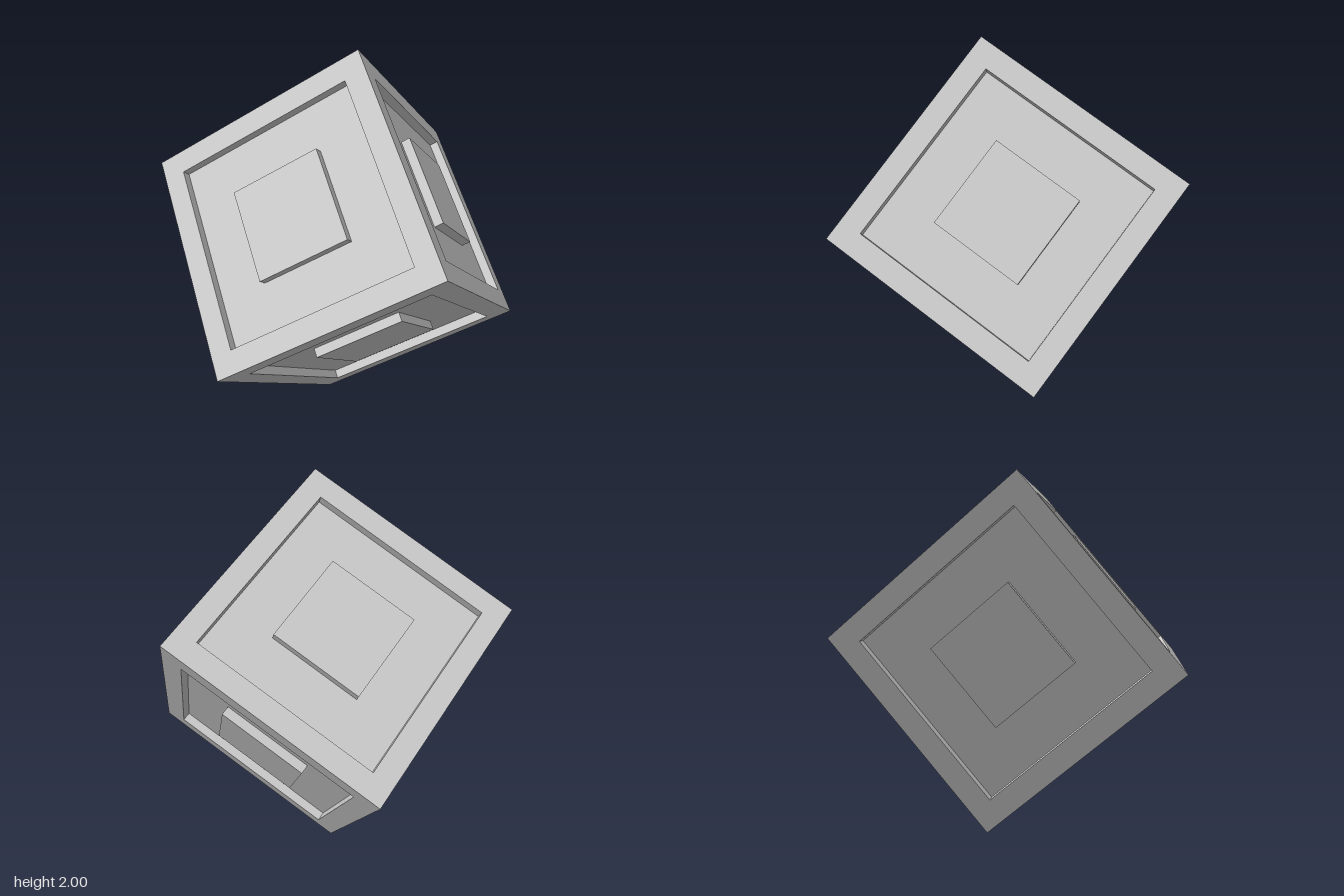
import * as THREE from 'three';

const EDGE = 1.1716;   // cube edge length
const HALF = EDGE / 2;
const OPEN = HALF - 0.111; // half width of the recess opening
const PAD = 0.235;     // half width of the raised square
const DEPTH = 0.046;   // depth of the recess

// Square-sided surface swept from a profile of [half width, height], listed from outside in
function squareSweep(name, profile, material) {
  const points = profile.map(([w, h]) => new THREE.Vector2(w * Math.SQRT2, h));
  const geometry = new THREE.LatheGeometry(points, 4).rotateY(Math.PI / 4).toNonIndexed();
  geometry.computeVertexNormals();
  const mesh = new THREE.Mesh(geometry, material);
  mesh.name = name;
  return mesh;
}

// One cube face: flat border, sunken panel and raised square, facing +y
function createFace(material) {
  const face = new THREE.Group();
  const parts = [
    squareSweep('border', [[HALF, 0], [OPEN, 0]], material),
    squareSweep('recess', [[OPEN, 0], [OPEN, -DEPTH], [PAD, -DEPTH]], material),
    squareSweep('raisedSquare', [[PAD, -DEPTH], [PAD, 0], [0, 0]], material),
  ];
  for (const part of parts) {
    part.position.y = HALF;
    face.add(part);
  }
  return face;
}

export function createModel() {
  const material = new THREE.MeshStandardMaterial({ color: 0xcccccc, flatShading: true });
  const model = new THREE.Group();
  model.name = 'panelledCube';

  // Six identical faces
  const q = Math.PI / 2;
  const turns = [[0, 0], [2 * q, 0], [q, 0], [-q, 0], [0, q], [0, -q]];
  const cube = new THREE.Group();
  cube.name = 'cube';
  turns.forEach(([rx, rz], i) => {
    const face = createFace(material);
    face.name = `face${i + 1}`;
    face.rotation.set(rx, 0, rz);
    cube.add(face);
  });

  // Tilt the cube so it balances on one corner with another corner towards the front
  const r = Math.SQRT1_2;
  const basis = new THREE.Matrix4().makeBasis(
    new THREE.Vector3(0, -r, r),
    new THREE.Vector3(r, -0.5, -0.5),
    new THREE.Vector3(r, 0.5, 0.5),
  );
  cube.quaternion.setFromRotationMatrix(basis);
  cube.position.y = 1;
  model.add(cube);
  return model;
}
